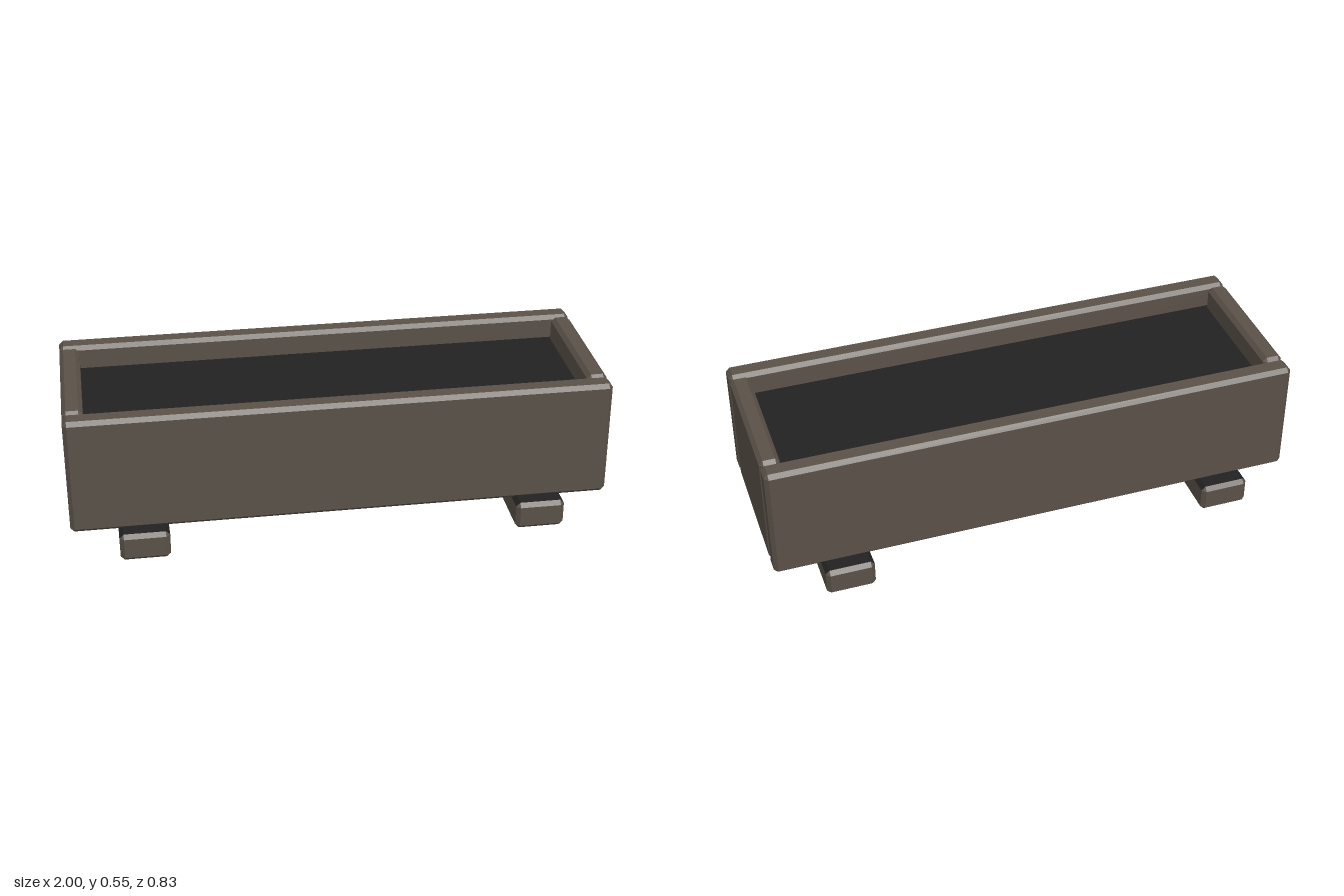
import * as THREE from 'three';
import { ConvexGeometry } from 'three/addons/geometries/ConvexGeometry.js';

const CHAMFER = 0.015;

// Box with every edge cut at 45 degrees and small triangular corners
function chamferBox(w, h, d, c = CHAMFER) {
  const points = [];
  for (const sx of [-1, 1]) for (const sy of [-1, 1]) for (const sz of [-1, 1]) {
    const x = w / 2, y = h / 2, z = d / 2;
    points.push(
      new THREE.Vector3(sx * x, sy * (y - c), sz * (z - c)),
      new THREE.Vector3(sx * (x - c), sy * y, sz * (z - c)),
      new THREE.Vector3(sx * (x - c), sy * (y - c), sz * z));
  }
  return new ConvexGeometry(points);
}

// Puts the top face and its long chamfers in the second material slot
function darkenTop(geometry) {
  const n = geometry.attributes.normal;
  for (let i = 0; i < n.count; i += 3) {
    const isTop = n.getY(i) > 0.5 && Math.abs(n.getZ(i)) < 0.1;
    geometry.addGroup(i, 3, isTop ? 1 : 0);
  }
  return geometry;
}

export function createModel() {
  const model = new THREE.Group();
  model.name = 'planter';

  const wood = new THREE.MeshStandardMaterial({ color: 0x5a5148 });
  wood.name = 'weathered wood';
  const dark = new THREE.MeshStandardMaterial({ color: 0x222222 });
  dark.name = 'dark soil';

  function add(name, geometry, material, x, y, z) {
    const mesh = new THREE.Mesh(geometry, material);
    mesh.name = name;
    mesh.position.set(x, y, z);
    model.add(mesh);
  }

  // Walls: long boards run past the ends of the short boards
  const bottom = 0.095, top = 0.547;
  const wallHeight = top - bottom, wallY = (top + bottom) / 2;
  const longBoard = chamferBox(2, wallHeight, 0.08);
  const endBoard = chamferBox(0.075, wallHeight, 0.532);
  add('frontBoard', longBoard, wood, 0, wallY, 0.306);
  add('backBoard', longBoard, wood, 0, wallY, -0.306);
  add('leftBoard', endBoard, wood, 0.9625, wallY, 0);
  add('rightBoard', endBoard, wood, -0.9625, wallY, 0);

  // Floor panel and the soil filling the box
  add('floorPanel', new THREE.BoxGeometry(1.86, 0.04, 0.54), wood, 0, 0.127, 0);
  add('soil', new THREE.BoxGeometry(1.86, 0.31, 0.54), dark, 0, 0.302, 0);

  // Two cross feet
  const foot = darkenTop(chamferBox(0.183, 0.107, 0.826));
  add('leftFoot', foot, [wood, dark], 0.735, 0.0535, 0);
  add('rightFoot', foot, [wood, dark], -0.735, 0.0535, 0);

  return model;
}
